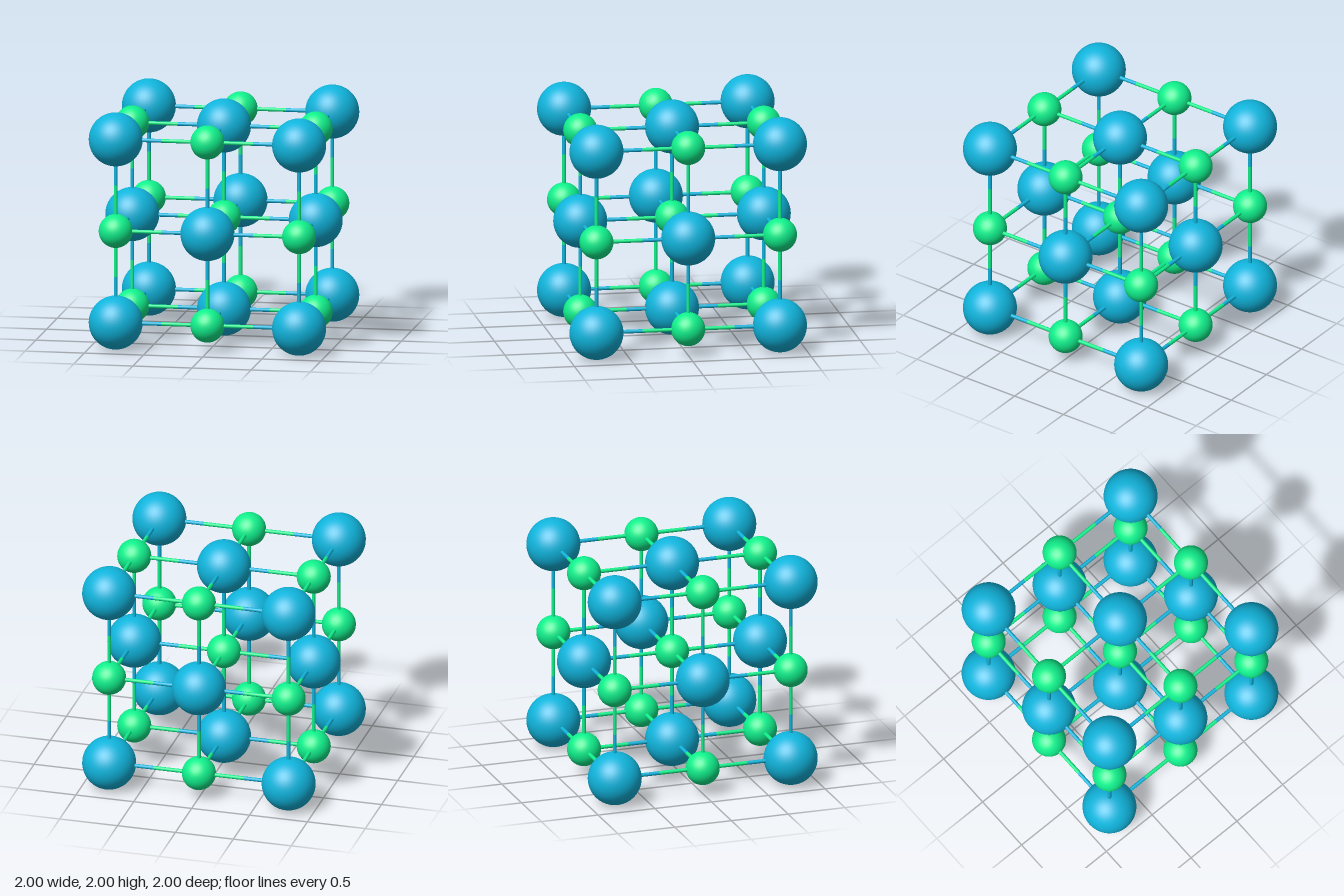
import * as THREE from 'three';

const STEP = 0.775;        // distance between neighbouring atoms
const LARGE_RADIUS = 0.225;
const SMALL_RADIUS = 0.142;
const BOND_RADIUS = 0.016;

export function createModel() {
  const model = new THREE.Group();
  model.name = 'crystalLattice';

  const blue = new THREE.MeshStandardMaterial({ color: 0x10b4dc });
  const green = new THREE.MeshStandardMaterial({ color: 0x10f08c });

  const largeSphere = new THREE.SphereGeometry(LARGE_RADIUS, 40, 28);
  const smallSphere = new THREE.SphereGeometry(SMALL_RADIUS, 40, 28);
  const halfBond = new THREE.CylinderGeometry(BOND_RADIUS, BOND_RADIUS, STEP / 2, 16, 1, true);

  const up = new THREE.Vector3(0, 1, 0);
  const axes = [new THREE.Vector3(1, 0, 0), up, new THREE.Vector3(0, 0, 1)];
  const isLarge = (cell) => (cell.x + cell.y + cell.z) % 2 === 0;
  const position = (cell) => new THREE.Vector3(cell.x - 1, cell.y - 1, cell.z - 1)
    .multiplyScalar(STEP).add(up);

  function addMesh(name, geometry, material, at) {
    const mesh = new THREE.Mesh(geometry, material);
    mesh.name = name;
    mesh.position.copy(at);
    model.add(mesh);
    return mesh;
  }

  // Each half of a bond takes the colour of the atom it touches
  function addBond(from, to, axis) {
    const a = position(from), b = position(to);
    [[from, 0.25], [to, 0.75]].forEach(([cell, t]) => {
      const large = isLarge(cell);
      const mesh = addMesh(large ? 'largeAtomBond' : 'smallAtomBond', halfBond,
        large ? blue : green, a.clone().lerp(b, t));
      mesh.quaternion.setFromUnitVectors(up, axis);
    });
  }

  // Large and small atoms alternate through a 3 x 3 x 3 lattice
  for (let i = 0; i < 3; i++) {
    for (let j = 0; j < 3; j++) {
      for (let k = 0; k < 3; k++) {
        const cell = new THREE.Vector3(i, j, k);
        if (isLarge(cell)) addMesh('largeAtom', largeSphere, blue, position(cell));
        else addMesh('smallAtom', smallSphere, green, position(cell));

        // Bonds to the next atom along each axis
        for (const axis of axes) {
          const next = cell.clone().add(axis);
          if (Math.max(next.x, next.y, next.z) < 3) addBond(cell, next, axis);
        }
      }
    }
  }
  return model;
}
